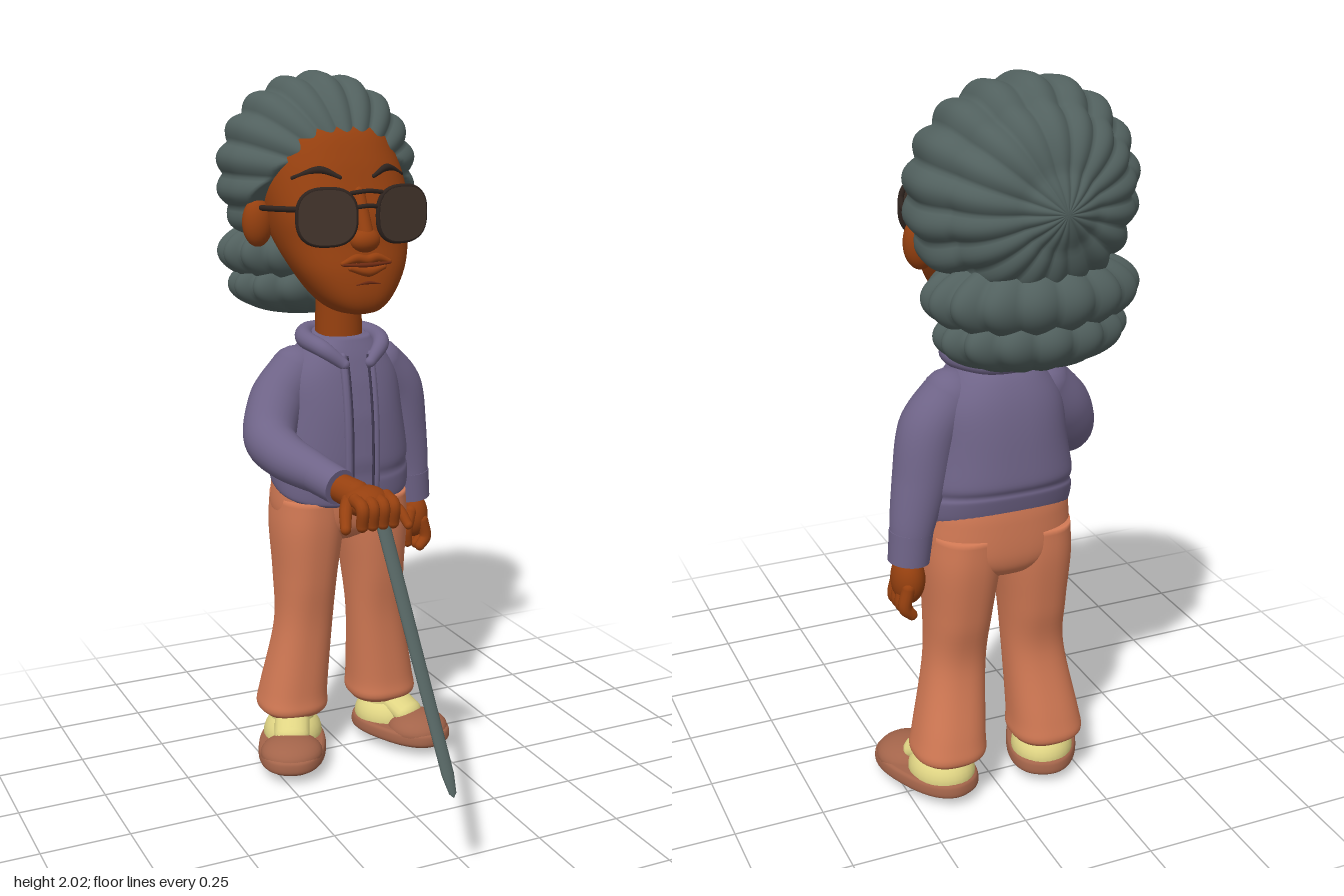
import * as THREE from 'three';
import { mergeGeometries, mergeVertices } from 'three/addons/utils/BufferGeometryUtils.js';

const V = (x, y, z) => new THREE.Vector3(x, y, z);
const EXP = 2.4;
const pw = v => Math.sign(v) * Math.abs(v) ** (2 / EXP);

// Closed smooth body from rows [y, centreX, halfWidth, zFront, zBack], bottom to top
function loft(rows, steps = 40, sides = 48) {
  const a = new THREE.CatmullRomCurve3(rows.map(r => V(r[0], r[1], r[2])));
  const b = new THREE.CatmullRomCurve3(rows.map(r => V(r[3], r[4], 0)));
  a.curveType = b.curveType = 'catmullrom';
  const pos = [], idx = [];
  for (let i = 0; i <= steps; i++) {
    const p = a.getPoint(i / steps), q = b.getPoint(i / steps);
    for (let j = 0; j < sides; j++) {
      const t = j / sides * Math.PI * 2;
      pos.push(p.y + p.z * pw(Math.sin(t)), p.x, (q.x + q.y) / 2 + (q.x - q.y) / 2 * pw(Math.cos(t)));
      if (i < steps) {
        const A = i * sides + j, B = i * sides + (j + 1) % sides;
        idx.push(A, B, A + sides, B, B + sides, A + sides);
      }
    }
  }
  const c = pos.length / 3, top = steps * sides;
  for (const r of [rows[0], rows[rows.length - 1]]) pos.push(r[1], r[0], (r[3] + r[4]) / 2);
  for (let j = 0; j < sides; j++) {
    const k = (j + 1) % sides;
    idx.push(c, k, j, c + 1, top + j, top + k);
  }
  const g = new THREE.BufferGeometry();
  g.setAttribute('position', new THREE.Float32BufferAttribute(pos, 3));
  g.setIndex(idx);
  g.computeVertexNormals();
  return g;
}

// Front depth of a lofted body at x, y
function frontZ(rows, x, y) {
  let i = 0;
  while (i < rows.length - 2 && rows[i + 1][0] < y) i++;
  const t = THREE.MathUtils.clamp((y - rows[i][0]) / (rows[i + 1][0] - rows[i][0]), 0, 1);
  const [, cx, w, f, b] = rows[i].map((v, k) => v + (rows[i + 1][k] - v) * t);
  const u = Math.min(Math.abs(x - cx) / w, 1);
  return (f + b) / 2 + (f - b) / 2 * (1 - u ** EXP) ** (1 / EXP);
}

// Round-ended tube through [x, y, z, radius]
function limb(pts, sides = 18) {
  const curve = new THREE.CatmullRomCurve3(pts.map(p => V(p[0], p[1], p[2])));
  const segs = pts.length * 6;
  const g = new THREE.TubeGeometry(curve, segs, 1, sides), P = g.attributes.position, v = V(0, 0, 0);
  for (let i = 0; i <= segs; i++) {
    const c = curve.getPointAt(i / segs), f = curve.getUtoTmapping(i / segs) * (pts.length - 1);
    const k = Math.min(Math.floor(f), pts.length - 2);
    const r = THREE.MathUtils.lerp(pts[k][3], pts[k + 1][3], f - k);
    for (let j = 0; j <= sides; j++) {
      const n = i * (sides + 1) + j;
      v.fromBufferAttribute(P, n).sub(c).multiplyScalar(r).add(c);
      P.setXYZ(n, v.x, v.y, v.z);
    }
  }
  const ends = [pts[0], pts[pts.length - 1]].map(p => new THREE.SphereGeometry(p[3], sides, 10).translate(p[0], p[1], p[2]));
  return mergeGeometries([g, ...ends]);
}

const ball = (x, y, z, rx, ry, rz) => new THREE.SphereGeometry(1, 28, 18).scale(rx, ry, rz).translate(x, y, z);

// Ellipsoid with puffy lobes around one axis and bands along it
function puffs(centre, size, lobes, amp, bands, alongZ, limit) {
  let g = new THREE.SphereGeometry(1, lobes * 9, 60);
  g.deleteAttribute('uv'); g.deleteAttribute('normal');
  const P = g.attributes.position, v = V(0, 0, 0);
  for (let i = 0; i < P.count; i++) {
    v.fromBufferAttribute(P, i);
    const phi = Math.atan2(v.z, v.x), th = Math.acos(THREE.MathUtils.clamp(v.y, -1, 1));
    const back = alongZ ? THREE.MathUtils.smoothstep(th, 1.2, 1.9) : 1;
    const s = 1 - amp * (1 - Math.abs(Math.sin(lobes * phi / 2))) * Math.sin(th)
      - bands * back * (1 - Math.abs(Math.sin(4.5 * th)));
    v.multiplyScalar(s);
    if (alongZ) v.set(v.x, -v.z, v.y);
    v.multiply(size).add(centre);
    if (limit) v.z = Math.min(v.z, limit(v.y));
    P.setXYZ(i, v.x, v.y, v.z);
  }
  g = mergeVertices(g, 1e-5);
  g.computeVertexNormals();
  return g;
}

export function createModel() {
  const root = new THREE.Group();
  const mat = (name, color, side = THREE.FrontSide) => {
    const m = new THREE.MeshStandardMaterial({ color, side });
    m.name = name;
    return m;
  };
  const skin = mat('skin', 0x96400f), lip = mat('lips', 0x6f2b12), hair = mat('slate hair', 0x51605e);
  const jacket = mat('purple jacket', 0x6f6488), pants = mat('orange trousers', 0xd37a55);
  const shoe = mat('brown shoe', 0xa3644a), cream = mat('cream shoe', 0xe0d584);
  const lens = mat('dark lens', 0x44352c), frame = mat('glasses frame', 0x2f241f), zip = mat('zip', 0x3f3850);
  const add = (name, geo, m, parent = root) => {
    const mesh = new THREE.Mesh(geo, m);
    mesh.name = name;
    parent.add(mesh);
    return mesh;
  };

  // Head and face
  const head = [[1.348, 0, .03, -.1, -.18], [1.36, 0, .07, -.07, -.24], [1.4, 0, .115, -.055, -.29],
    [1.47, 0, .16, -.06, -.34], [1.55, 0, .19, -.08, -.42], [1.62, 0, .203, -.09, -.46], [1.7, 0, .203, -.12, -.5],
    [1.77, 0, .185, -.15, -.5], [1.84, 0, .15, -.195, -.48], [1.88, 0, .08, -.26, -.44]];
  add('head', loft(head, 60), skin);
  add('neck', new THREE.CylinderGeometry(.062, .07, .26, 28).translate(0, 1.34, -.262), skin);
  add('nose', ball(0, 1.555, -.083, .044, .034, .036), skin);
  add('noseBridge', limb([[0, 1.68, -.125, .018], [0, 1.57, -.08, .024]]), skin);
  const onFace = (pts, r, out) => limb(pts.map(([x, y], i) =>
    [x, y, frontZ(head, x, y) + out, i % (pts.length - 1) ? r : r * .5]), 10);
  add('upperLip', onFace([[-.07, 1.495], [-.03, 1.508], [0, 1.503], [.03, 1.508], [.07, 1.495]], .013, 0), skin);
  add('mouthLine', onFace([[-.07, 1.492], [0, 1.49], [.07, 1.492]], .007, .006), lip);
  add('lowerLip', onFace([[-.05, 1.482], [0, 1.472], [.05, 1.482]], .015, 0), skin);
  add('chinCrease', onFace([[-.035, 1.437], [0, 1.442], [.035, 1.437]], .005, 0), lip);
  for (const s of [-1, 1]) {
    add('ear', ball(s * .222, 1.59, -.315, .044, .068, .038).rotateZ(0), skin);
    add('eyebrow', onFace([[s * .05, 1.722], [s * .1, 1.742], [s * .165, 1.72]], .011, 0), frame);
  }

  // Hair: lobed crown cut back along the hairline, with two lower tiers
  add('hairCrown', puffs(V(0, 1.715, -.415), V(.297, .287, .245), 18, .075, .05, true,
    y => y < 1.8 ? -.19 - (1.8 - y) * .75 : 0), hair);
  add('hairMiddleTier', puffs(V(0, 1.49, -.475), V(.28, .11, .172), 16, .08, 0, false), hair);
  add('hairLowerTier', puffs(V(0, 1.392, -.475), V(.25, .096, .155), 14, .1, 0, false), hair);

  // Glasses
  const glasses = new THREE.Group();
  glasses.name = 'glasses';
  root.add(glasses);
  const outline = [];
  for (let i = 0; i < 36; i++) {
    const t = i / 18 * Math.PI, p = v => Math.sign(v) * Math.abs(v) ** .75;
    outline.push(V(.08 * p(Math.cos(t)), .074 * p(Math.sin(t)), 0));
  }
  for (const s of [-1, 1]) {
    const half = new THREE.Group();
    half.name = 'lensUnit';
    half.position.set(s * .112, 1.622, -.082);
    half.rotation.y = s * .2;
    glasses.add(half);
    add('lens', new THREE.ExtrudeGeometry(new THREE.Shape(outline), { depth: .008, bevelEnabled: false }), lens, half);
    add('rim', new THREE.TubeGeometry(new THREE.CatmullRomCurve3(outline, true), 60, .0075, 8, true), frame, half);
    add('templeArm', limb([[s * .19, 1.645, -.1, .008], [s * .214, 1.64, -.18, .008], [s * .222, 1.63, -.33, .008]], 8), frame, glasses);
  }
  for (const y of [1.685, 1.645])
    add('bridge', limb([[-.045, y, -.07, .006], [0, y + .005, -.062, .006], [.045, y, -.07, .006]], 8), frame, glasses);

  // Jacket body, hem rising toward the back
  const torso = [[.785, 0, .188, -.13, -.395], [.8, 0, .203, -.122, -.41], [.85, 0, .206, -.118, -.423], [.875, 0, .2, -.12, -.423],
    [.92, 0, .203, -.114, -.432], [1.05, 0, .185, -.12, -.425], [1.15, 0, .17, -.135, -.41], [1.22, 0, .13, -.152, -.385], [1.27, 0, .08, -.17, -.35]];
  const body = loft(torso, 50), B = body.attributes.position;
  for (let i = 0; i < B.count; i++) {
    const y = B.getY(i), k = 1 - THREE.MathUtils.smoothstep(y, .8, 1.05);
    B.setY(i, y + k * Math.max(0, -.13 - B.getZ(i)) * .25);
  }
  body.computeVertexNormals();
  add('jacketBody', body, jacket);
  // Thin plate laid over the front of the torso
  const plate = (name, x0, x1, y0, y1, out, m) => {
    const g = new THREE.PlaneGeometry(x1 - x0, y1 - y0, 6, 24).translate((x0 + x1) / 2, (y0 + y1) / 2, 0);
    const P = g.attributes.position;
    for (let i = 0; i < P.count; i++) P.setZ(i, frontZ(torso, P.getX(i), P.getY(i)) + out);
    g.computeVertexNormals();
    add(name, g, m);
  };
  plate('shirtFront', -.03, .045, .84, 1.24, .006, jacket);
  plate('trouserFront', -.03, .045, .785, .84, .006, pants);
  for (const x of [-.036, .05]) {
    const edge = (r, dx, out) => limb([.785, .85, .95, 1.05, 1.15, 1.22].map(y => [x + dx, y, frontZ(torso, x, y) + out, r]), 8);
    add('jacketEdge', edge(.012, 0, .002), jacket);
    add('zipLine', edge(.004, x > 0 ? -.011 : .011, .008), zip);
  }
  add('collar', limb([[.045, 1.2, -.145, .016], [.09, 1.245, -.17, .024], [.105, 1.26, -.26, .026], [.06, 1.265, -.345, .027],
    [0, 1.265, -.36, .027], [-.06, 1.265, -.345, .027], [-.105, 1.26, -.26, .026], [-.09, 1.245, -.17, .024], [-.035, 1.2, -.145, .016]]), jacket);
  add('shirtNeck', new THREE.TorusGeometry(.07, .014, 10, 32).rotateX(Math.PI / 2 + .15).translate(0, 1.262, -.26), jacket);

  // Sleeves: left hangs, right reaches forward
  const cuff = (name, a, b, r) => {
    const d = V(...b).sub(V(...a));
    const m = add(name, new THREE.CylinderGeometry(r, r * 1.06, d.length(), 28), jacket);
    m.position.copy(V(...a)).addScaledVector(d, .5);
    m.quaternion.setFromUnitVectors(V(0, 1, 0), d.normalize());
  };
  add('leftSleeve', limb([[.13, 1.165, -.275, .075], [.19, 1.09, -.285, .081], [.222, .95, -.295, .073], [.245, .84, -.3, .06], [.25, .8, -.3, .054]], 28), jacket);
  cuff('leftCuff', [.249, .82, -.3], [.258, .735, -.302], .055);
  add('rightSleeve', limb([[-.13, 1.165, -.275, .075], [-.195, 1.09, -.255, .081], [-.243, 1.0, -.195, .075], [-.236, .968, -.11, .066], [-.2, .946, 0, .056], [-.185, .94, .04, .05]], 28), jacket);
  cuff('rightCuff', [-.198, .945, 0], [-.165, .925, .11], .05);

  // Left hand, relaxed
  add('leftPalm', ball(.258, .68, -.295, .045, .07, .055), skin);
  for (let i = 0; i < 4; i++) {
    const z = -.336 + i * .027;
    add('leftFinger', limb([[.272, .67, z, .018], [.282, .615, z, .018], [.262, .59, z + .004, .015]], 12), skin);
  }
  add('leftThumb', limb([[.235, .7, -.262, .02], [.216, .65, -.25, .018], [.222, .605, -.255, .014]], 12), skin);

  // Right hand gripping the cane
  add('rightWrist', limb([[-.168, .925, .08, .038], [-.14, .912, .16, .042]]), skin);
  add('rightPalm', ball(-.125, .903, .19, .062, .042, .065), skin);
  for (let i = 0; i < 4; i++) {
    const x = -.165 + i * .03;
    add('rightFinger', limb([[x, .915, .21, .019], [x - .002, .905, .258, .018], [x, .855, .252, .016]], 12), skin);
  }
  add('rightThumb', limb([[-.165, .905, .17, .022], [-.195, .89, .215, .018], [-.215, .855, .258, .014]], 12), skin);
  add('rightLittleFinger', limb([[-.08, .9, .2, .018], [-.055, .885, .245, .015], [-.042, .85, .275, .012]], 12), skin);

  // Cane, flattened and pointed
  const cane = add('cane', new THREE.LatheGeometry([[0, 0], [.01, .012], [.017, .06], [.02, .74], [0, .75]]
    .map(p => new THREE.Vector2(...p)), 20).scale(1, 1, .55), hair);
  cane.position.set(-.1, .25, .653);
  cane.quaternion.setFromUnitVectors(V(0, 1, 0), V(0, .62, -.425).normalize());

  // Trousers
  add('hips', loft([[.66, 0, .06, -.22, -.34], [.69, 0, .12, -.17, -.39], [.74, 0, .195, -.147, -.412], [.84, 0, .198, -.137, -.415], [.9, 0, .185, -.14, -.41]]), pants);
  for (const s of [-1, 1]) {
    add('trouserLeg', loft([[.118, .145, .088, -.21, -.385], [.14, .147, .103, -.193, -.402], [.2, .142, .098, -.195, -.393],
      [.4, .118, .084, -.188, -.357], [.55, .11, .088, -.166, -.382], [.7, .104, .1, -.147, -.405], [.8, .1, .097, -.142, -.41]]
      .map(([y, x, ...r]) => [y, s * x, ...r])), pants);

    // Shoes, toes turned out
    const foot = new THREE.Group();
    foot.name = s > 0 ? 'leftShoe' : 'rightShoe';
    foot.position.set(s * .18, 0, -.218);
    foot.rotation.y = s * .42;
    root.add(foot);
    add('sole', loft([[.008, 0, .085, .155, -.155], [.02, 0, .1, .168, -.168], [.045, 0, .099, .167, -.166], [.054, 0, .09, .158, -.158]], 14), shoe, foot);
    add('toeCap', ball(0, .045, .07, .092, .048, .092), shoe, foot);
    add('upper', ball(0, .055, -.06, .088, .075, .1), cream, foot);
    add('tongue', limb([[0, .118, -.045, .035], [0, .08, .03, .035]]).scale(1.5, 1, 1), cream, foot);
    add('ankle', new THREE.CylinderGeometry(.062, .07, .1, 24).translate(0, .1, -.06), cream, foot);
  }
  return root;
}
